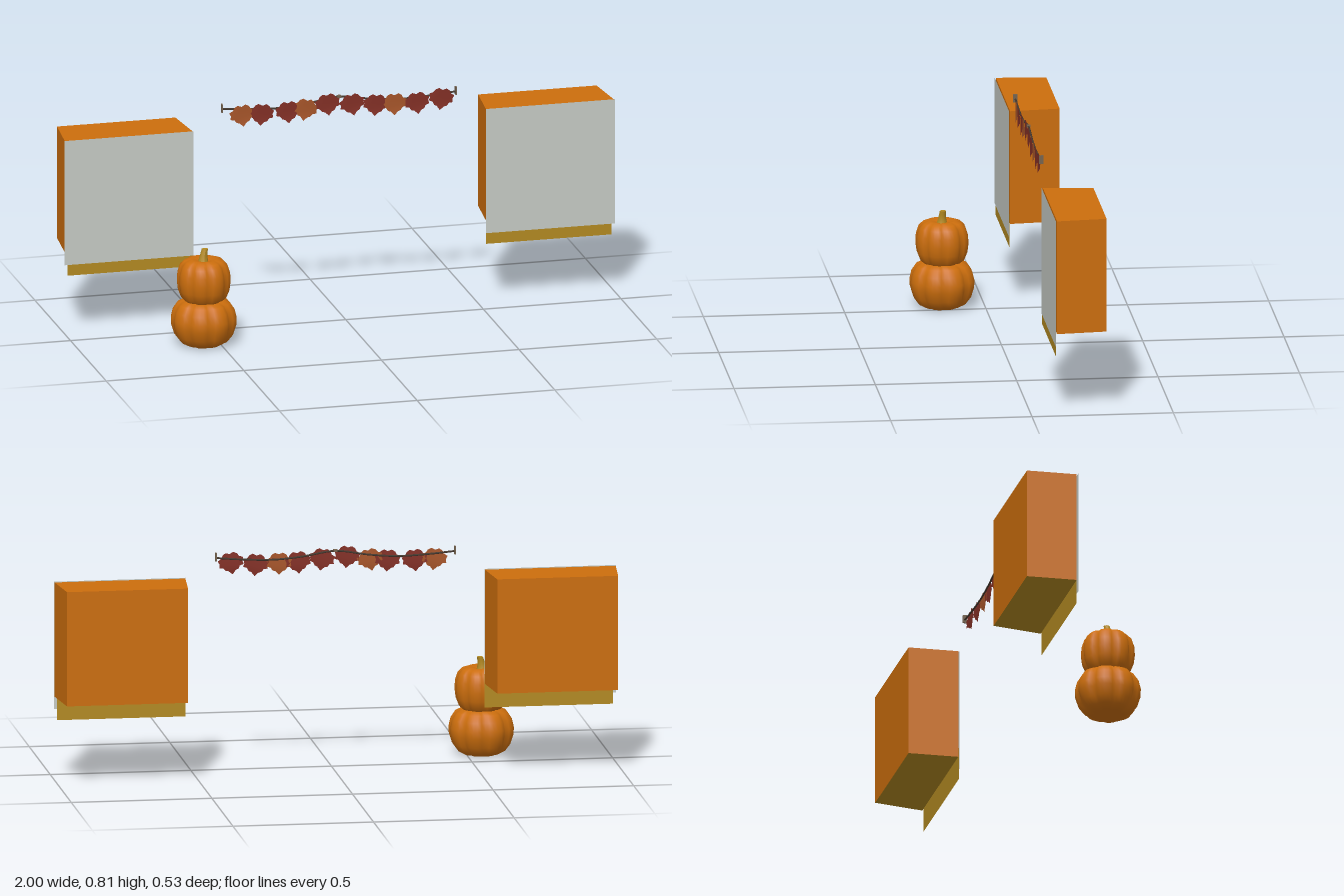
import * as THREE from 'three';

const mat = (name, color, side = THREE.FrontSide) => {
  const m = new THREE.MeshStandardMaterial({ color, side });
  m.name = name;
  return m;
};

export function createModel() {
  const root = new THREE.Group();
  const orange = mat('pumpkin orange', 0xcc6e0d);
  const grey = mat('pale grey', 0xc6cbc5, THREE.DoubleSide);
  const ochre = mat('ochre', 0xb38a22, THREE.DoubleSide);
  const red = mat('autumn red', 0x843026, THREE.DoubleSide);
  const rust = mat('autumn rust', 0xa8562a, THREE.DoubleSide);
  const twine = mat('dark twine', 0x45392f);
  const peg = mat('peg brown', 0x75634f);

  const add = (name, geo, material, x = 0, y = 0, z = 0, parent = root) => {
    const m = new THREE.Mesh(geo, material);
    m.name = name;
    m.position.set(x, y, z);
    parent.add(m);
    return m;
  };

  // Two tapered boxes, each with a grey front panel and an ochre trim behind it
  for (const s of [-1, 1]) {
    const side = s < 0 ? 'right' : 'left';
    const box = new THREE.BoxGeometry(0.465, 0.41, 0.177);
    const p = box.attributes.position;
    for (let i = 0; i < p.count; i++) if (p.getZ(i) < 0) p.setX(i, p.getX(i) * 0.925);
    box.computeVertexNormals();
    add(side + 'Box', box, [orange, orange, orange, ochre, orange, orange], s * 0.765, 0.505, -0.1775);
    add(side + 'FrontPanel', new THREE.PlaneGeometry(0.468, 0.457), grey, s * 0.766, 0.4835, -0.084);
    add(side + 'Trim', new THREE.PlaneGeometry(0.457, 0.12), ochre, s * 0.76, 0.275, -0.0865);
  }

  // Ribbed pumpkin: a lathe whose radius follows a row of lobes
  const pumpkin = (name, profile, y) => {
    const lobes = 8;
    const geo = new THREE.LatheGeometry(profile.map(([r, h]) => new THREE.Vector2(r, h)), lobes * 6);
    const p = geo.attributes.position;
    for (let i = 0; i < p.count; i++) {
      const a = Math.atan2(p.getZ(i), p.getX(i));
      const k = 0.9 + 0.105 * Math.sqrt(Math.abs(Math.sin(a * lobes / 2)));
      p.setX(i, p.getX(i) * k);
      p.setZ(i, p.getZ(i) * k);
    }
    geo.computeVertexNormals();
    // Join the normals across the lathe seam
    const n = geo.attributes.normal, rows = profile.length, last = lobes * 6 * rows;
    for (let j = 0; j < rows; j++) {
      const v = new THREE.Vector3().fromBufferAttribute(n, j)
        .add(new THREE.Vector3().fromBufferAttribute(n, last + j)).normalize();
      n.setXYZ(j, v.x, v.y, v.z);
      n.setXYZ(last + j, v.x, v.y, v.z);
    }
    add(name, geo, orange, -0.555, y, 0.15);
  };
  pumpkin('lowerPumpkin', [[0, 0.012], [0.035, 0.005], [0.062, 0.003], [0.086, 0.016], [0.104, 0.04],
    [0.115, 0.075], [0.116, 0.1], [0.109, 0.13], [0.093, 0.154], [0.07, 0.165], [0.04, 0.16], [0, 0.152]], 0);
  pumpkin('upperPumpkin', [[0, 0.008], [0.035, 0], [0.062, 0.005], [0.08, 0.02], [0.091, 0.048],
    [0.095, 0.08], [0.093, 0.11], [0.084, 0.138], [0.069, 0.153], [0.048, 0.16], [0.025, 0.155], [0, 0.145]], 0.155);

  // Stem, flared at the foot and leaning slightly
  const stemGeo = new THREE.CylinderGeometry(0.011, 0.02, 0.05, 10, 4);
  const sp = stemGeo.attributes.position;
  for (let i = 0; i < sp.count; i++) {
    const t = sp.getY(i) / 0.05 + 0.5;
    const k = 1 - 0.5 * t * (1 - t);
    sp.setXYZ(i, sp.getX(i) * k + 0.007 * t * t, sp.getY(i), sp.getZ(i) * k - 0.003 * t * t);
  }
  stemGeo.computeVertexNormals();
  add('stem', stemGeo, ochre, -0.557, 0.325, 0.15);

  // Garland: twine in two sagging swags held by three pegs
  const garland = new THREE.Group();
  garland.name = 'garland';
  root.add(garland);
  const ropePts = [[-0.425, 0.782], [-0.33, 0.774], [-0.22, 0.77], [-0.12, 0.778], [0, 0.795],
    [0.12, 0.778], [0.22, 0.77], [0.33, 0.774], [0.425, 0.782]];
  const curve = new THREE.CatmullRomCurve3(ropePts.map(([x, y]) => new THREE.Vector3(x, y, -0.096)));
  add('twine', new THREE.TubeGeometry(curve, 48, 0.0035, 6), twine, 0, 0, 0, garland);
  for (const x of [-0.425, 0.425]) {
    add('endPeg', new THREE.BoxGeometry(0.005, 0.03, 0.015), peg, x, 0.785, -0.095, garland);
  }
  add('middlePeg', new THREE.BoxGeometry(0.014, 0.008, 0.013), peg, 0, 0.796, -0.096, garland);

  // Maple leaves: half an outline mirrored, bent slightly about the middle
  const half = [[0, 0.004], [0.014, 0.01], [0.026, 0.003], [0.032, -0.007], [0.046, -0.014], [0.041, -0.026],
    [0.044, -0.039], [0.03, -0.042], [0.023, -0.053], [0.013, -0.056], [0, -0.07]];
  const outline = [...half, ...half.slice(1, -1).reverse().map(([x, y]) => [-x, y])];
  const leafGeo = new THREE.ShapeGeometry(new THREE.Shape(outline.map(([x, y]) => new THREE.Vector2(x, y))));
  const lp = leafGeo.attributes.position;
  for (let i = 0; i < lp.count; i++) lp.setZ(i, -Math.abs(lp.getX(i)) * 0.1);
  leafGeo.computeVertexNormals();
  const leaves = [[-0.355, 0.783, 1, 0.1], [-0.28, 0.781, 0, -0.1], [-0.187, 0.783, 0, 0.05], [-0.118, 0.787, 1, -0.2],
    [-0.045, 0.8, 0, 0.1], [0.043, 0.793, 0, 0.15], [0.135, 0.785, 0, -0.1], [0.2, 0.783, 1, 0],
    [0.28, 0.781, 0, 0.1], [0.375, 0.789, 0, -0.15]];
  for (const [x, y, isRust, tilt] of leaves) {
    add('leaf', leafGeo, isRust ? rust : red, x, y, -0.088, garland).rotation.z = tilt;
  }
  return root;
}
